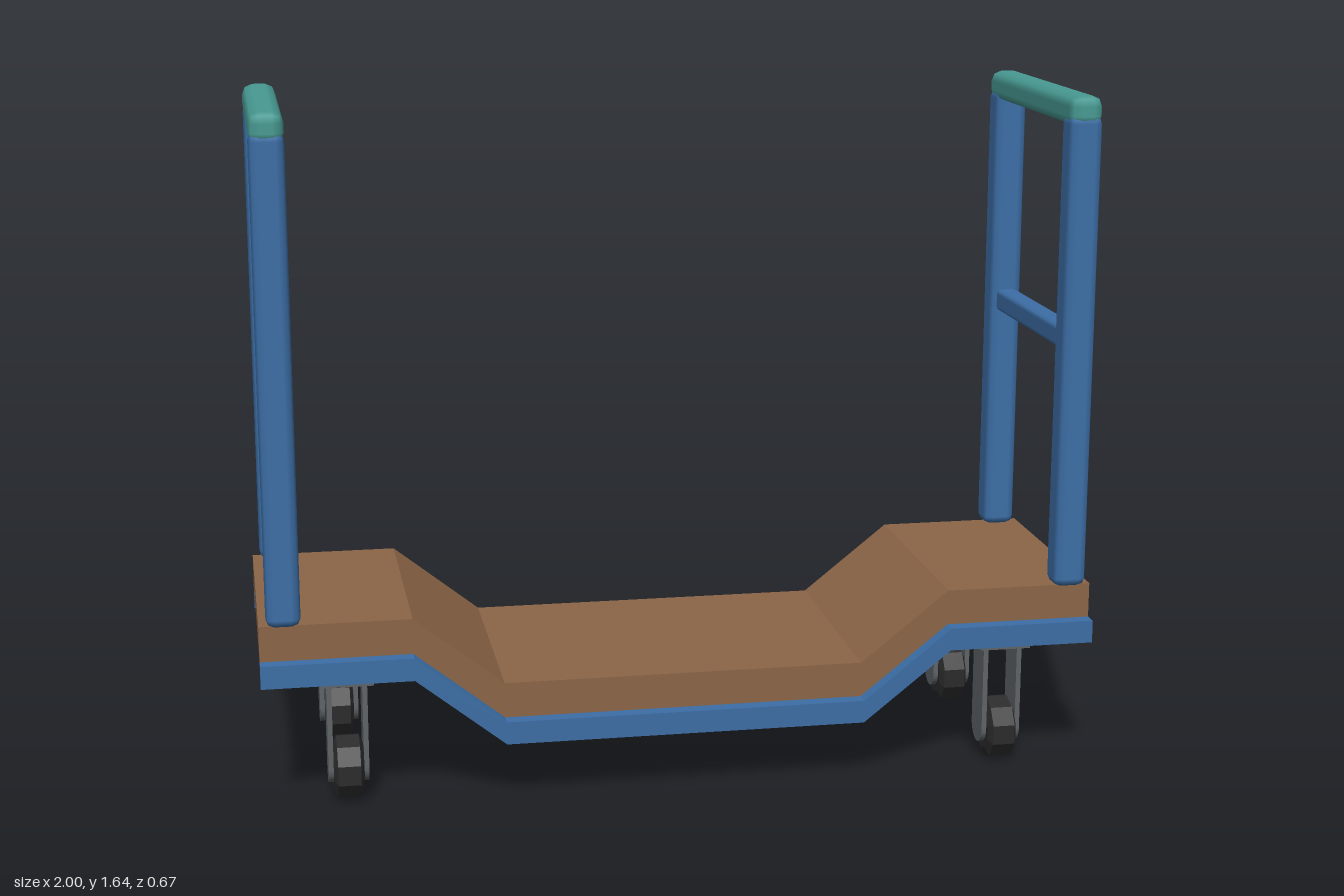
import * as THREE from 'three';
import { RoundedBoxGeometry } from 'three/addons/geometries/RoundedBoxGeometry.js';

const material = (name, color) => {
  const m = new THREE.MeshStandardMaterial({ color });
  m.name = name;
  return m;
};

export function createModel() {
  const wood = material('brown wood', 0x8b6547);
  const blue = material('blue paint', 0x3c6ea6);
  const teal = material('teal grip', 0x489a93);
  const steel = material('grey steel', 0x5f6467);
  const rubber = material('black rubber', 0x2b2b2b);
  const root = new THREE.Group();
  root.name = 'platformCart';

  const add = (parent, name, geometry, mat, x = 0, y = 0, z = 0) => {
    const mesh = new THREE.Mesh(geometry, mat);
    mesh.name = name;
    mesh.position.set(x, y, z);
    parent.add(mesh);
    return mesh;
  };

  // Dropped-centre slab: raised ends, sloped sides, low middle
  const slab = (top, thick, depth) => {
    const line = [[-1, 0], [-0.645, 0], [-0.432, -0.17], [0.432, -0.17], [0.645, 0], [1, 0]];
    const upper = line.map(([x, y]) => new THREE.Vector2(x, y + top));
    const lower = line.map(([x, y]) => new THREE.Vector2(x, y + top - thick)).reverse();
    const shape = new THREE.Shape([...lower, ...upper]);
    return new THREE.ExtrudeGeometry(shape, { depth, bevelEnabled: false }).translate(0, 0, -depth / 2);
  };

  // Deck and side rails
  add(root, 'deck', slab(0.46, 0.085, 0.6), wood);
  for (const s of [-1, 1]) {
    add(root, s > 0 ? 'frontRail' : 'backRail', slab(0.375, 0.055, 0.035), blue, 0, 0, s * 0.3175);
  }

  // Push handle at each end
  for (const sx of [-1, 1]) {
    const handle = new THREE.Group();
    handle.name = sx > 0 ? 'leftHandle' : 'rightHandle';
    handle.position.x = sx * 0.943;
    root.add(handle);
    for (const sz of [-1, 1]) {
      add(handle, 'post', new RoundedBoxGeometry(0.08, 1.14, 0.08, 1, 0.02), blue, 0, 1.03, sz * 0.288);
    }
    add(handle, 'crossbar', new RoundedBoxGeometry(0.055, 0.055, 0.51, 1, 0.012), blue, 0, 1.0625, 0);
    add(handle, 'grip', new RoundedBoxGeometry(0.08, 0.072, 0.656, 1, 0.025), teal, 0, 1.609, 0);
  }

  // Fork arm outline: straight sides with a rounded lower end
  const arm = new THREE.Shape();
  arm.moveTo(0.042, 0.3);
  arm.lineTo(-0.042, 0.3);
  arm.lineTo(-0.042, 0.083);
  arm.absarc(0, 0.083, 0.042, Math.PI, Math.PI * 2, false);
  arm.closePath();
  const armGeo = new THREE.ExtrudeGeometry(arm, { depth: 0.012, bevelEnabled: false, curveSegments: 8 })
    .translate(0, 0, -0.006).rotateY(Math.PI / 2);

  // Ten-sided wheel with bevelled shoulders, turned about the x axis
  const profile = [[0, -0.036], [0.055, -0.036], [0.077, -0.027], [0.077, 0.027], [0.055, 0.036], [0, 0.036]];
  const wheelGeo = new THREE.LatheGeometry(profile.map(([r, y]) => new THREE.Vector2(r, y)), 10)
    .rotateZ(Math.PI / 2).toNonIndexed();
  wheelGeo.rotateX(Math.PI / 2);
  wheelGeo.computeVertexNormals();

  // Casters
  for (const sx of [-1, 1]) for (const sz of [-1, 1]) {
    const caster = new THREE.Group();
    caster.name = (sz > 0 ? 'front' : 'back') + (sx > 0 ? 'Left' : 'Right') + 'Caster';
    caster.position.set(sx * 0.8, 0, sz * 0.215);
    root.add(caster);
    add(caster, 'mountPlate', new THREE.BoxGeometry(0.125, 0.025, 0.125), steel, 0, 0.3075, 0);
    for (const s of [-1, 1]) add(caster, 'forkArm', armGeo, steel, s * 0.042, 0, 0);
    add(caster, 'wheel', wheelGeo, rubber, 0, 0.077, 0);
  }
  return root;
}
